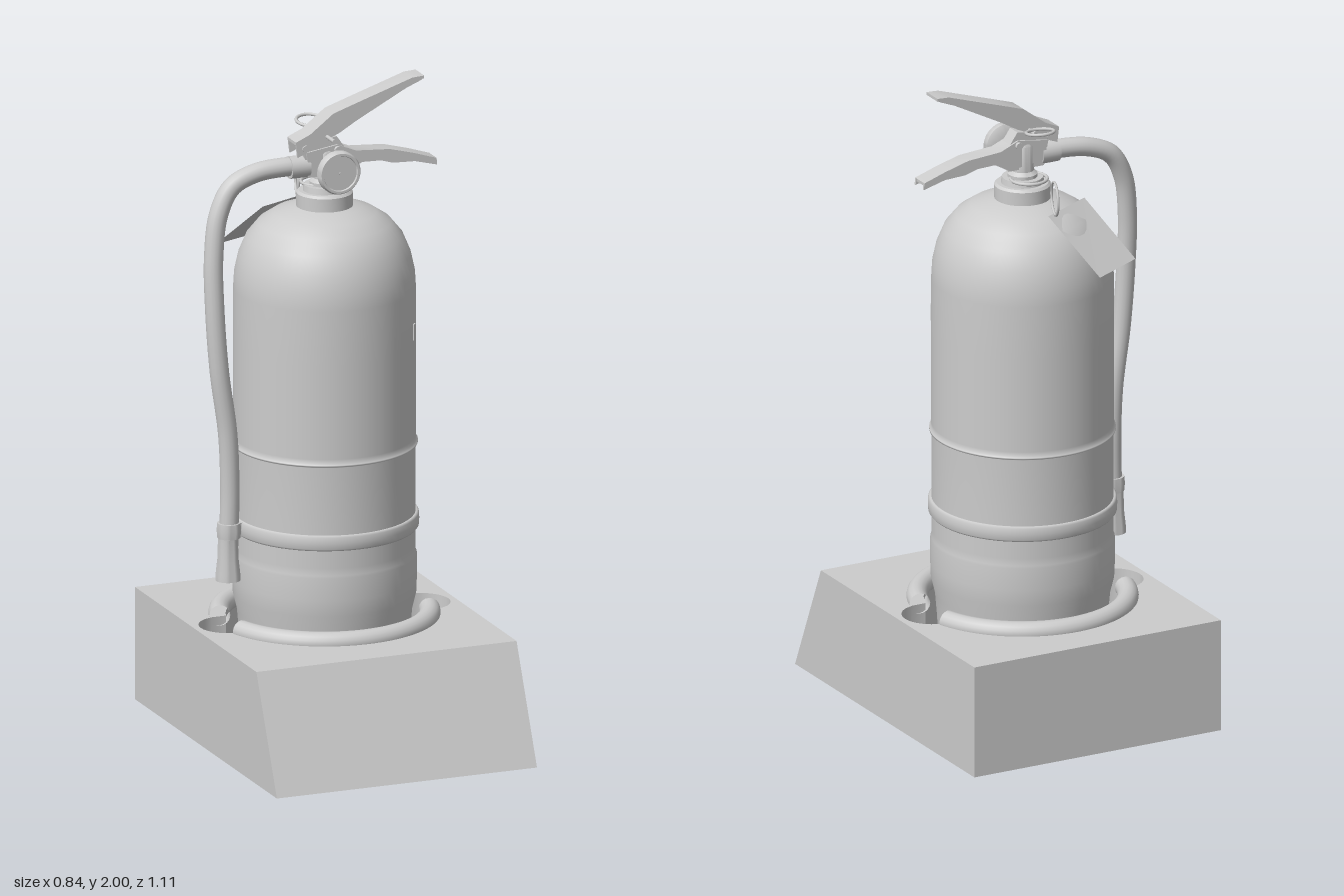
import * as THREE from 'three';
import { toCreasedNormals } from 'three/addons/utils/BufferGeometryUtils.js';

const grey = new THREE.MeshStandardMaterial({ color: 0xcccccc, side: THREE.DoubleSide });
grey.name = 'light grey';
const CZ = -0.09; // depth of the cylinder axis
const V = (x, y, z) => new THREE.Vector3(x, y, z);

export function createModel() {
  const model = new THREE.Group();
  model.name = 'fireExtinguisherOnStand';

  const add = (name, geo, x = 0, y = 0, z = 0) => {
    const m = new THREE.Mesh(geo, grey);
    m.name = name;
    m.position.set(x, y, z);
    model.add(m);
    return m;
  };
  const lathe = (pts, seg = 64) => new THREE.LatheGeometry(pts.map(p => new THREE.Vector2(...p)), seg);
  const creased = (geo, angle = 0.6) => toCreasedNormals(geo, angle);
  const shapeOf = pts => new THREE.Shape(pts.map(p => new THREE.Vector2(...p)));
  // Side profile in x/y, given a thickness centred on z
  const plate = (pts, depth) => {
    const g = new THREE.ExtrudeGeometry(shapeOf(pts), { depth, bevelEnabled: false });
    return creased(g.translate(0, 0, -depth / 2), 0.5);
  };
  const tube = (pts, r, seg = 64, sides = 16) =>
    new THREE.TubeGeometry(new THREE.CatmullRomCurve3(pts), seg, r, sides, false);
  // Wall between two closed loops of equal length
  const wall = (low, high, angle) => {
    const p = [];
    low.forEach((a, i) => {
      const j = (i + 1) % low.length, b = low[j], c = high[j], d = high[i];
      for (const v of [a, b, c, a, c, d]) p.push(v.x, v.y, v.z);
    });
    const g = new THREE.BufferGeometry();
    g.setAttribute('position', new THREE.Float32BufferAttribute(p, 3));
    return creased(g, angle);
  };

  // Hollow stand with a sloping front
  const rect = (y, front) => [V(-0.42, y, front), V(0.42, y, front), V(0.42, y, -0.555), V(-0.42, y, -0.555)];
  add('standWalls', wall(rect(0, 0.555), rect(0.35, 0.395), 0.1));

  // Pocket outline: a circle with a round finger hole on each side
  const outline = [];
  for (let i = 0; i < 144; i++) {
    const t = i / 144 * Math.PI * 2, d = 0.31, r = 0.09;
    const q = r * r - (d * Math.sin(t)) ** 2;
    const ear = q > 0 ? d * Math.abs(Math.cos(t)) + Math.sqrt(q) : 0;
    const s = Math.max(0.295, ear);
    outline.push([s * Math.cos(t), s * Math.sin(t) - CZ]); // shape y is -z
  }
  const top = shapeOf([[-0.42, -0.395], [0.42, -0.395], [0.42, 0.555], [-0.42, 0.555]]);
  top.holes.push(new THREE.Path(outline.map(p => new THREE.Vector2(...p))));
  add('standTop', new THREE.ShapeGeometry(top).rotateX(-Math.PI / 2), 0, 0.35, 0);
  add('pocketFloor', new THREE.ShapeGeometry(shapeOf(outline)).rotateX(-Math.PI / 2), 0, 0.18, 0);
  const loop = y => outline.map(([x, s]) => V(x, y, -s));
  add('pocketWall', wall(loop(0.35), loop(0.18), 0.6));

  // Rounded rim, broken at the finger holes
  const gap = 0.27;
  for (const start of [0, Math.PI]) {
    const g = new THREE.TorusGeometry(0.315, 0.032, 16, 48, Math.PI - 2 * gap);
    g.rotateZ(start + gap).rotateX(Math.PI / 2);
    add('pocketRim', g, 0, 0.354, CZ);
  }

  // Cylinder body with domed shoulder and a raised seam
  add('body', lathe([
    [0, 0.185], [0.23, 0.185], [0.25, 0.2], [0.256, 0.3], [0.262, 0.37], [0.274, 0.42], [0.276, 0.47], [0.276, 0.54],
    [0.272, 0.547], [0.272, 0.57], [0.272, 0.65], [0.272, 0.884], [0.279, 0.888], [0.279, 0.893],
    [0.273, 0.897], [0.273, 0.91], [0.273, 1.2], [0.273, 1.37], [0.27, 1.42], [0.258, 1.475],
    [0.235, 1.53], [0.2, 1.573], [0.155, 1.603], [0.11, 1.618], [0.08, 1.625],
  ]), 0, 0, CZ);
  add('neckCollar', creased(lathe([
    [0.085, 1.61], [0.085, 1.665], [0.078, 1.672], [0.065, 1.672], [0.062, 1.69], [0, 1.69],
  ], 40)), 0, 0, CZ);

  // Strap and hose clip
  add('strap', lathe([
    [0.27, 0.627], [0.277, 0.626], [0.282, 0.632], [0.283, 0.65], [0.282, 0.668], [0.277, 0.674], [0.27, 0.673],
  ]), 0, 0, CZ);
  add('hoseClip', creased(lathe([
    [0.028, 0.627], [0.035, 0.627], [0.037, 0.65], [0.035, 0.673], [0.028, 0.673],
  ], 24)), -0.315, 0, -0.075);
  add('clipTab', new THREE.BoxGeometry(0.04, 0.044, 0.04), -0.28, 0.65, -0.08);

  // Small mark on the front of the body
  const mark = add('bodyMark', new THREE.BoxGeometry(0.016, 0.05, 0.006), 0.223, 1.245, 0.068);
  mark.rotation.y = Math.atan2(0.223, 0.158);

  // Valve
  add('valveStem', creased(lathe([
    [0.045, 1.68], [0.045, 1.7], [0.034, 1.71], [0.034, 1.79], [0.028, 1.8], [0, 1.8],
  ], 32)), 0, 0, CZ);
  add('valveBlock', plate([[-0.06, 1.72], [0.06, 1.72], [0.065, 1.79], [0.03, 1.84], [-0.08, 1.82]], 0.046), 0, 0, CZ);
  add('hoseFitting', new THREE.CylinderGeometry(0.034, 0.034, 0.06, 24).rotateZ(Math.PI / 2), -0.085, 1.752, CZ);

  // Pressure gauge facing the front
  add('gaugeStem', new THREE.CylinderGeometry(0.02, 0.024, 0.09, 20).rotateX(Math.PI / 2), 0, 1.755, -0.035);
  add('gauge', creased(lathe([
    [0, -0.018], [0.05, -0.018], [0.066, -0.008], [0.066, 0.012], [0.062, 0.018], [0.055, 0.018], [0.053, 0.013], [0, 0.013],
  ], 48)).rotateX(Math.PI / 2), 0, 1.755, 0.02);
  add('gaugeHub', new THREE.CylinderGeometry(0.004, 0.004, 0.004, 10).rotateX(Math.PI / 2), 0, 1.755, 0.034);

  // Folded-sheet handles: a top skin with two side flanges, open underneath
  const channel = (name, upper, lower, width) => {
    const under = upper.map(([x, y]) => [x, y - 0.009]).reverse();
    add(name + 'Skin', plate([...upper, ...under], width), 0, 0, CZ);
    for (const s of [-1, 1])
      add(name + 'Flange', plate([...upper, ...lower], 0.007), 0, 0, CZ + s * (width / 2 - 0.0035));
  };
  channel('squeezeLever',
    [[-0.106, 1.838], [-0.06, 1.858], [0.015, 1.915], [0.1, 1.943], [0.27, 1.998], [0.308, 2.0]],
    [[0.3, 1.988], [0.25, 1.968], [0.09, 1.885], [0.035, 1.853], [-0.03, 1.825], [-0.075, 1.8], [-0.1, 1.79]], 0.068);
  channel('carryHandle',
    [[-0.07, 1.8], [0.03, 1.815], [0.09, 1.79], [0.2, 1.782], [0.28, 1.76], [0.35, 1.737]],
    [[0.352, 1.716], [0.28, 1.735], [0.21, 1.738], [0.17, 1.75], [0.11, 1.752], [0.06, 1.725], [-0.06, 1.74]], 0.058);
  for (const [x, y] of [[-0.075, 1.815], [0.03, 1.8]])
    add('rivet', new THREE.CylinderGeometry(0.011, 0.011, 0.078, 16).rotateX(Math.PI / 2), x, y, CZ);

  // Hose and nozzle
  add('hose', tube([
    V(-0.06, 1.752, -0.09), V(-0.13, 1.755, -0.092), V(-0.22, 1.745, -0.098), V(-0.295, 1.71, -0.1),
    V(-0.34, 1.63, -0.095), V(-0.36, 1.5, -0.085), V(-0.361, 1.35, -0.075), V(-0.348, 1.15, -0.07),
    V(-0.32, 0.95, -0.072), V(-0.312, 0.78, -0.075), V(-0.316, 0.6, -0.075),
  ], 0.029, 90));
  add('nozzle', creased(lathe([
    [0.02, 0.5], [0.038, 0.495], [0.037, 0.515], [0.032, 0.56], [0.03, 0.625],
  ], 24)), -0.318, 0, -0.075);

  // Safety pin with its pull ring
  add('safetyPin', new THREE.CylinderGeometry(0.006, 0.006, 0.16, 10).rotateX(Math.PI / 2), -0.005, 1.845, -0.08);
  const pull = add('pullRing', new THREE.TorusGeometry(0.042, 0.005, 8, 36), -0.005, 1.86, -0.19);
  pull.rotation.x = Math.PI / 2 + 0.15;

  // Tag ring and its loop around the neck
  add('tagCollar', new THREE.TorusGeometry(0.055, 0.005, 8, 36).rotateX(Math.PI / 2), -0.005, 1.69, -0.12);
  const ring = add('tagRing', new THREE.TorusGeometry(0.05, 0.004, 8, 40), -0.025, 1.662, -0.245);
  ring.rotation.y = Math.PI / 2 - 0.3;

  // Hanging tag resting on the shoulder
  const tag = new THREE.BufferGeometry();
  tag.setAttribute('position', new THREE.Float32BufferAttribute([
    -0.168, 1.615, -0.167, 0, 1.612, -0.25, -0.085, 1.455, -0.415, -0.25, 1.46, -0.335], 3));
  tag.setIndex([0, 1, 2, 0, 2, 3]);
  tag.computeVertexNormals();
  // Keep the front side facing up and outward
  if (tag.attributes.normal.getY(0) < 0) {
    tag.setIndex([0, 2, 1, 0, 3, 2]);
    tag.computeVertexNormals();
  }
  add('inspectionTag', tag);

  return model;
}
